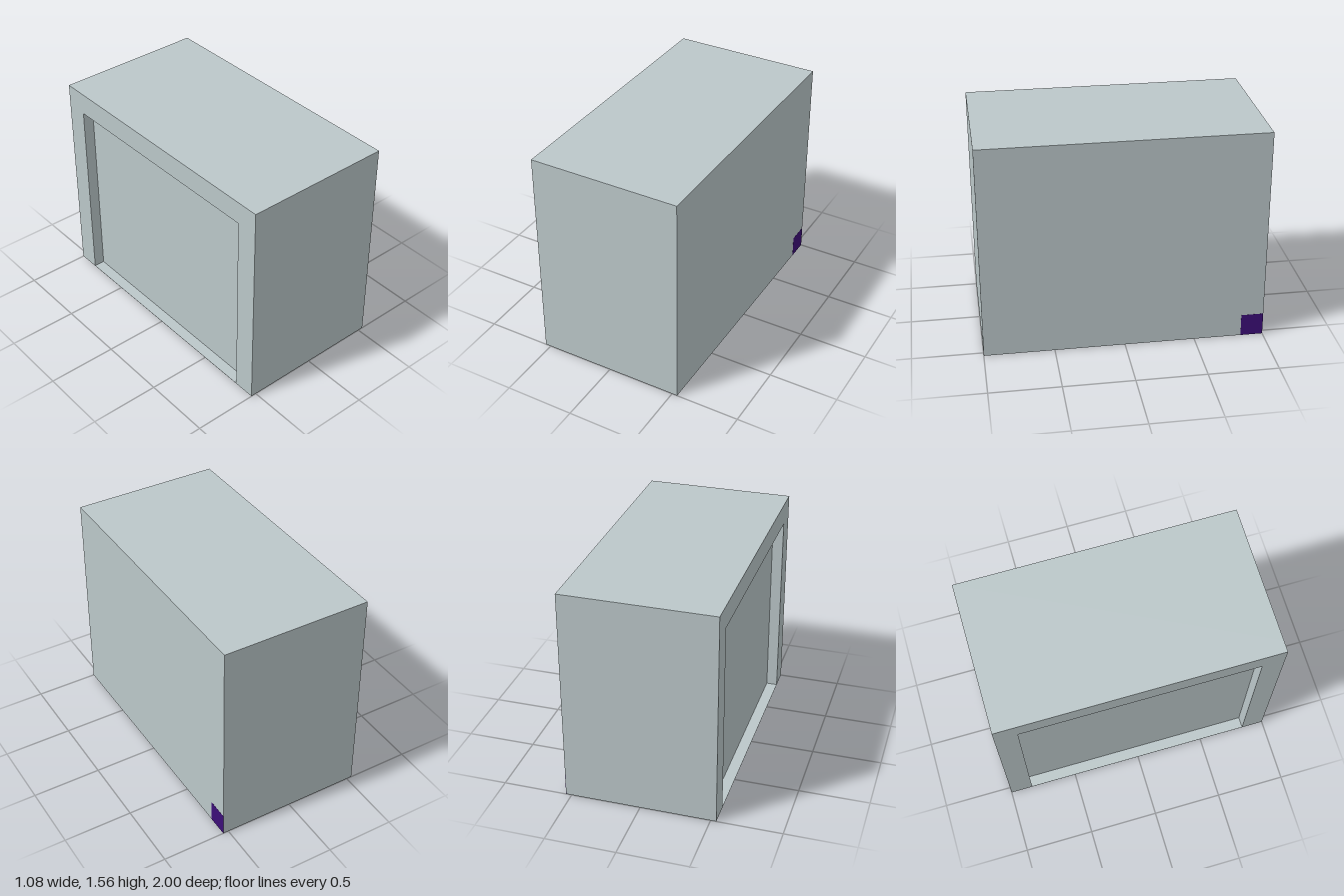
import * as THREE from 'three';

export function createModel() {
  const model = new THREE.Group();
  const grey = new THREE.MeshStandardMaterial({ color: 0xbbc7c9 });
  grey.name = 'paleGrey';
  const purple = new THREE.MeshStandardMaterial({ color: 0x3c0e78 });
  purple.name = 'deepPurple';

  const W = 0.54, H = 1.56, D = 1;         // half width, height, half depth
  const recess = 0.08, margin = 0.16, base = 0.001;

  const add = (name, geometry, material, x = 0, y = 0, z = 0) => {
    const mesh = new THREE.Mesh(geometry, material);
    mesh.name = name;
    mesh.position.set(x, y, z);
    model.add(mesh);
  };

  // Solid block behind the recess
  add('body', new THREE.BoxGeometry(2 * W - recess, H - base, 2 * D), grey,
    recess / 2, (H + base) / 2, 0);

  // Doorway-shaped frame around the recess, open at the bottom
  const outline = new THREE.Shape([
    [-D, base], [-D + margin, base], [-D + margin, H - margin], [D - margin, H - margin],
    [D - margin, base], [D, base], [D, H], [-D, H],
  ].map(([z, y]) => new THREE.Vector2(z, y)));
  const frame = new THREE.ExtrudeGeometry(outline, { depth: recess, bevelEnabled: false });
  frame.rotateY(-Math.PI / 2);
  add('recessFrame', frame, grey, -W + recess, 0, 0);

  // Thin floor of the recess
  add('recessFloor', new THREE.BoxGeometry(recess, 0.002, 2 * (D - margin)), grey,
    -W + recess / 2, base + 0.001, 0);

  // Small square plate at the lower back corner
  add('cornerPlate', new THREE.BoxGeometry(0.002, 0.164, margin), purple, W, base + 0.082, -D + margin / 2);

  // Tapered sliver under the recess floor, facing down
  const sliver = new THREE.ShapeGeometry(new THREE.Shape([
    new THREE.Vector2(-0.47, -0.82), new THREE.Vector2(-0.53, -0.82), new THREE.Vector2(-0.475, 0.22),
  ]));
  sliver.rotateX(Math.PI / 2);
  add('undersideStrip', sliver, purple);

  return model;
}
